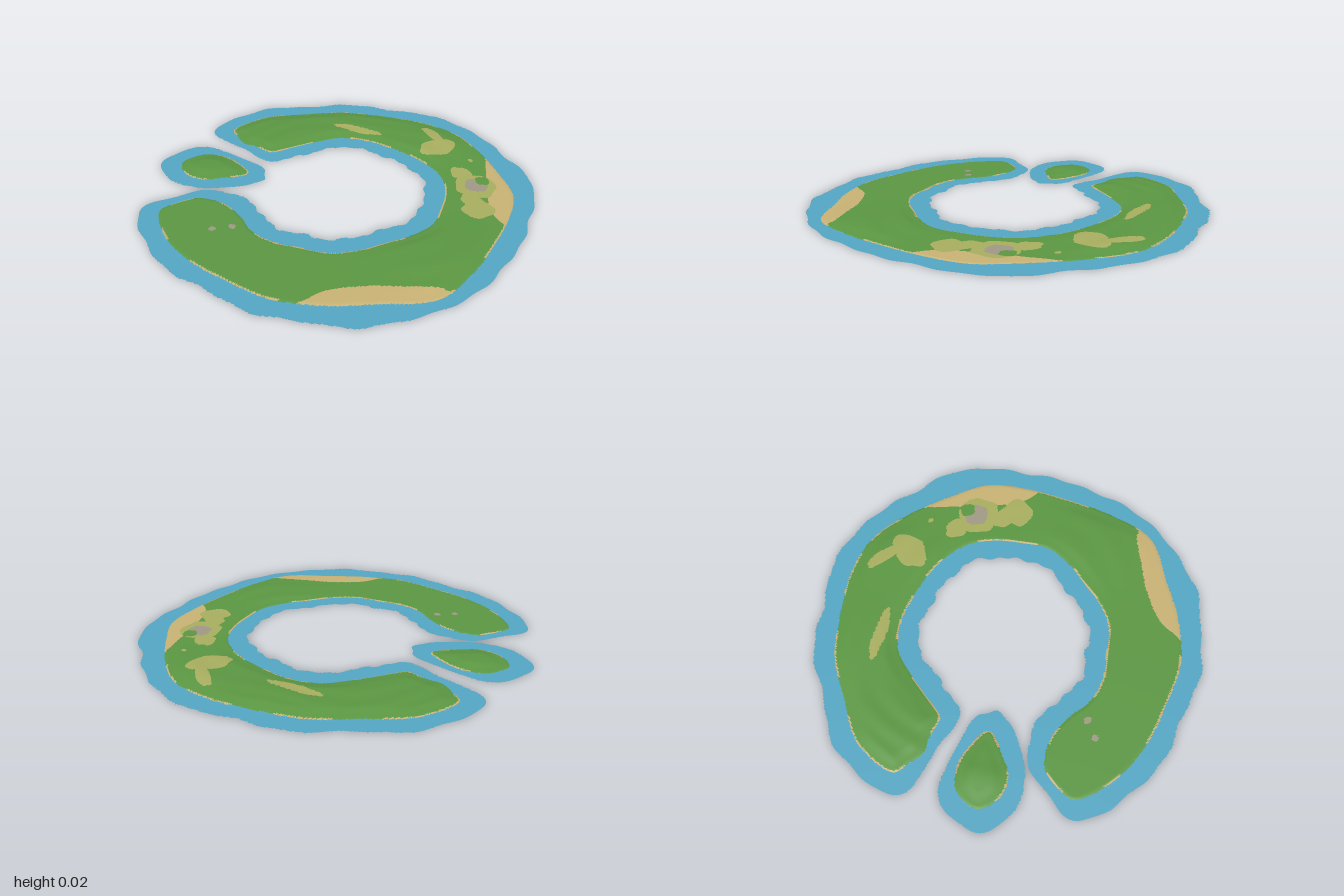
import * as THREE from 'three';

const CELL = 0.008;
const { degToRad, smoothstep } = THREE.MathUtils;

// Point at a clockwise compass angle (0 = back) and radius
const polar = (deg, r, cx = 0, cz = 0) =>
  new THREE.Vector3(cx + r * Math.sin(degToRad(deg)), 0, cz - r * Math.cos(degToRad(deg)));

// Smooth closed outline through control points
function outline(controls) {
  const curve = new THREE.CatmullRomCurve3(controls, true, 'centripetal');
  const points = curve.getPoints(controls.length * 30).slice(0, -1).map(p => new THREE.Vector2(p.x, p.z));
  return { points, box: new THREE.Box2().setFromPoints(points) };
}

// Uneven oval, its long axis turned from +x towards +z
function oval(x, z, rx, rz, turn = 0) {
  const t = degToRad(turn), controls = [];
  for (let i = 0; i < 12; i++) {
    const a = i * Math.PI / 6, k = 1 + 0.08 * Math.sin(i * 2.3 + x * 20);
    const u = k * rx * Math.cos(a), v = k * rz * Math.sin(a);
    controls.push(new THREE.Vector3(x + u * Math.cos(t) - v * Math.sin(t), 0, z + u * Math.sin(t) + v * Math.cos(t)));
  }
  return outline(controls);
}

function inside(o, x, z) {
  const { min, max } = o.box, p = o.points;
  if (x < min.x || x > max.x || z < min.y || z > max.y) return false;
  let hit = false;
  for (let i = 0, j = p.length - 1; i < p.length; j = i++) {
    if ((p[i].y > z) !== (p[j].y > z) &&
      x < (p[j].x - p[i].x) * (z - p[i].y) / (p[j].y - p[i].y) + p[i].x) hit = !hit;
  }
  return hit;
}

function nearest(list, x, z, limit) {
  let best = limit * limit, point = null;
  for (const { points, box } of list) {
    if (x < box.min.x - limit || x > box.max.x + limit || z < box.min.y - limit || z > box.max.y + limit) continue;
    for (const p of points) {
      const d = (p.x - x) ** 2 + (p.y - z) ** 2;
      if (d < best) { best = d; point = p; }
    }
  }
  return { d: Math.sqrt(best), point };
}

// Crescent shore radii every 15 degrees, from the back tip round to the right tip
const outer = [.86, .89, .853, .862, .855, .883, .902, .875, .865, .888, .863,
  .857, .893, .94, .882, .874, .872, .848, .858, .872, .86];
const inner = [.52, .495, .51, .545, .543, .53, .535, .55, .563, .552, .54,
  .548, .522, .5, .51, .518, .503, .517, .52, .505, .56];
const shore = radii => radii.map((r, i) => polar(i * 15 - 15, r));
const islet = [.15, .125, .13, .2, .12, .125, .145, .175];
const coasts = [
  outline([...shore(outer), polar(288, .8), polar(291, .68), ...shore(inner).reverse(),
    polar(-17, .62), polar(-19, .7), polar(-17, .79)]),
  outline(islet.map((r, i) => polar(i * 45, r, -.47, -.49))),
];

// Ground patches, first match wins
const patches = [
  ['grass', oval(.71, .265, .035, .04)],
  ['rock', oval(.66, .285, .06, .062)],
  ['rock', oval(-.66, .04, .018, .016)],
  ['rock', oval(-.57, .065, .016, .022)],
  ['dryGrass', oval(.775, .07, .012, .016)],
  ['dryGrass', oval(.655, .16, .05, .07)],
  ['dryGrass', oval(.65, .29, .1, .11)],
  ['dryGrass', oval(.56, .4, .05, .08)],
  ['dryGrass', oval(.54, .47, .08, .075)],
  ['dryGrass', oval(.69, -.12, .105, .075)],
  ['dryGrass', oval(.745, -.25, .032, .1)],
  ['dryGrass', oval(.395, -.5, .14, .03, 52)],
  ['sand', oval(.76, .42, .37, .11, 119)],
  ['sand', oval(-.26, .84, .34, .115, 21)],
];

// Soft bumps: x, z, radius, height
const bumps = (list, x, z) =>
  list.reduce((sum, [bx, bz, r, a]) => sum + a * Math.exp(-((x - bx) ** 2 + (z - bz) ** 2) / (r * r)), 0);
const hills = [[0, -.7, .25, .014], [.45, -.55, .25, .015], [.72, -.2, .2, .013], [.15, .7, .22, .012], [-.47, -.5, .13, .014]];
const shelfBumps = [[.05, .97, .17, -.045], [.95, .28, .12, .045], [-.35, .9, .2, .03],
  [-.33, -.5, .15, -.04], [-.74, -.27, .15, -.045], [-.26, -.66, .12, -.05]];

// Width of the shallow water around the shore
function shelf(x, z) {
  const a = Math.atan2(x, -z);
  return 0.099 + 0.007 * Math.sin(a * 13) + 0.005 * Math.sin(a * 29) + bumps(shelfBumps, x, z);
}

function height(x, z, d) {
  const ridges = 1 + 0.12 * Math.sin(Math.hypot(x, z) * 45 + 2 * Math.sin(x * 7 + z * 4));
  return 0.003 * Math.min(1, d / 0.01) + 0.017 * Math.tanh(bumps(hills, x, z) / 0.015) * ridges * smoothstep(d, 0, 0.08);
}

const onLand = (x, z) => coasts.some(o => inside(o, x, z));

function groundKind(x, z) {
  const { d } = nearest(coasts, x, z, 0.2);
  if (!onLand(x, z)) return d < shelf(x, z) ? 'water' : null;
  const patch = patches.find(([, o]) => inside(o, x, z));
  if (patch) return patch[0];
  // broken sandy rim along the shore
  const rim = Math.sin(x * 17 + 1) + Math.sin(z * 19 + x * 5) > -0.35;
  return rim && d < 0.0075 ? 'sand' : 'grass';
}

// Grid vertex, snapped to a nearby outline so colour borders stay clean
const edges = [...coasts, ...patches.map(p => p[1])];
function gridPoint(x, z) {
  const reach = CELL * 0.46, snap = nearest(edges, x, z, reach).point;
  if (snap) { x = snap.x; z = snap.y; }
  const { d, point } = nearest(coasts, x, z, 0.2);
  if (onLand(x, z)) return [x, height(x, z, d), z];
  const w = shelf(x, z);
  if (point && Math.abs(d - w) < reach) {
    x = point.x + (x - point.x) * w / d;
    z = point.y + (z - point.y) * w / d;
  }
  return [x, 0, z];
}

export function createModel() {
  const group = new THREE.Group();
  group.name = 'crescentIsland';
  const N = Math.round(2.04 / CELL), row = N + 1, positions = [];
  for (let j = 0; j <= N; j++) for (let i = 0; i <= N; i++)
    positions.push(...gridPoint(i * CELL - 1.02, j * CELL - 1.02));

  // Sort the triangles by ground kind
  const index = { water: [], grass: [], dryGrass: [], sand: [], rock: [] };
  const add = (...t) => {
    const mid = k => t.reduce((sum, v) => sum + positions[v * 3 + k] / 3, 0);
    const kind = groundKind(mid(0), mid(2));
    if (kind) index[kind].push(...t);
  };
  for (let j = 0; j < N; j++) for (let i = 0; i < N; i++) {
    const a = j * row + i, b = a + row;
    add(a, b, a + 1);
    add(a + 1, b, b + 1);
  }

  // Land pieces share smooth normals, water stays flat
  const sheet = triangles => {
    const g = new THREE.BufferGeometry();
    g.setAttribute('position', new THREE.Float32BufferAttribute(positions, 3));
    g.setIndex(triangles);
    g.computeVertexNormals();
    return g;
  };
  const { water, ...ground } = index;
  const land = sheet(Object.values(ground).flat());
  const parts = [['water', 'shallowWater', 0x55a8c6], ['grass', 'grassland', 0x5c9843],
    ['dryGrass', 'dryGrassPatches', 0xa9b060], ['sand', 'beaches', 0xcab375], ['rock', 'rockPatches', 0xa19a86]];
  for (const [kind, name, color] of parts) {
    const geometry = kind === 'water' ? sheet(water) : land.clone().setIndex(index[kind]);
    const material = new THREE.MeshStandardMaterial({ color, side: THREE.DoubleSide });
    material.name = kind;
    const mesh = new THREE.Mesh(geometry.toNonIndexed(), material);
    mesh.name = name;
    group.add(mesh);
  }
  return group;
}
